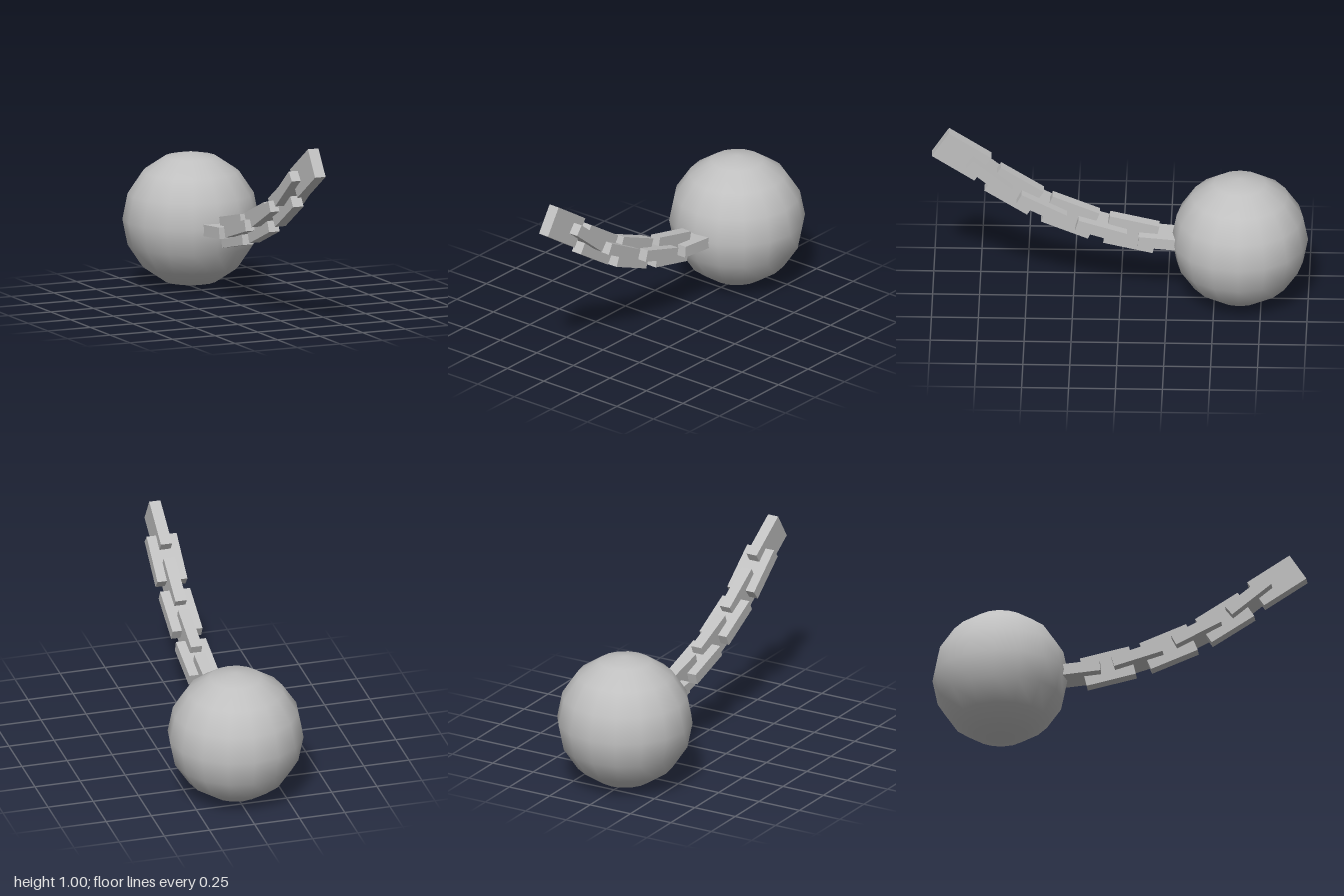
import * as THREE from 'three';

export function createModel() {
  const model = new THREE.Group();
  model.name = 'ballAndChain';
  const iron = new THREE.MeshStandardMaterial({ color: 0xc0c0c0 });
  iron.name = 'greyIron';

  // Heavy ball
  const ball = new THREE.Mesh(new THREE.SphereGeometry(0.364, 16, 8), iron);
  ball.name = 'ball';
  ball.position.set(0, 0.364, -0.636);
  model.add(ball);

  // Chain of solid links, alternately upright and flat, sagging towards the ball
  const upright = new THREE.BoxGeometry(0.062, 0.166, 0.27);
  const flat = new THREE.BoxGeometry(0.166, 0.062, 0.27);
  const links = [ // y, z, tilt in degrees
    [0.857, 0.845, 33],
    [0.753, 0.697, 39],
    [0.652, 0.566, 32.4],
    [0.57, 0.418, 27],
    [0.495, 0.266, 22],
    [0.438, 0.101, 16.6],
    [0.395, -0.059, 12.7],
    [0.368, -0.231, 5],
  ];
  const chain = new THREE.Group();
  chain.name = 'chain';
  links.forEach(([y, z, tilt], i) => {
    const link = new THREE.Mesh(i % 2 ? flat : upright, iron);
    link.name = i % 2 ? 'flatLink' : 'uprightLink';
    link.position.set(0, y, z);
    link.rotation.x = -THREE.MathUtils.degToRad(tilt);
    chain.add(link);
  });
  model.add(chain);
  return model;
}
